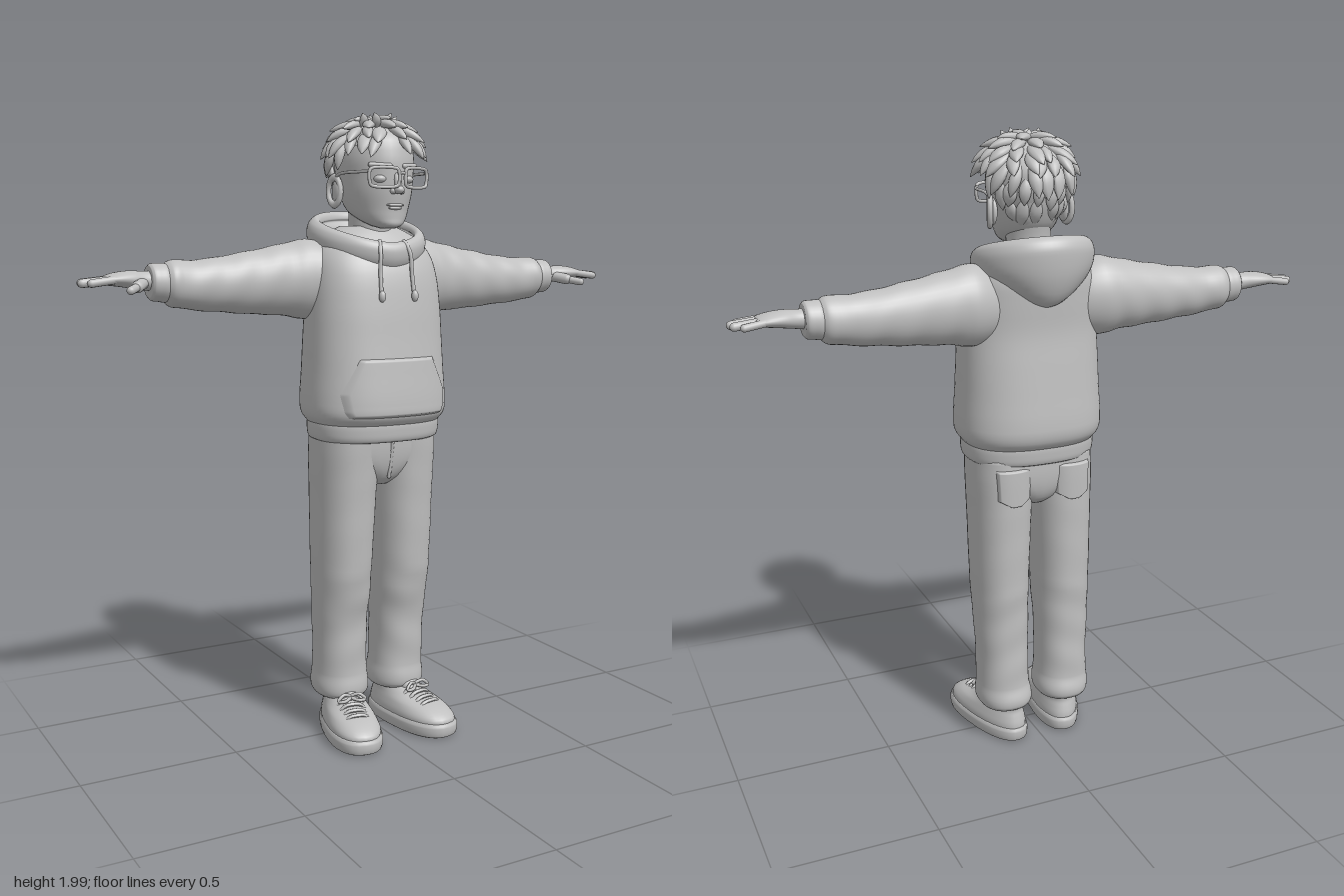
import * as THREE from 'three';
import { mergeGeometries } from 'three/addons/utils/BufferGeometryUtils.js';

const V = (x, y, z) => new THREE.Vector3(x, y, z);
const { cos, sin, PI, abs, sign, min, max } = Math;
const clay = new THREE.MeshStandardMaterial({ color: 0xbfbfbf });
clay.name = 'clay grey';

// grid surface from fn(s, t); s may wrap round
function surface(fn, ns, nt, closed = true) {
  const pos = [], idx = [], w = closed ? ns : ns + 1;
  for (let i = 0; i <= nt; i++)
    for (let j = 0; j < w; j++) pos.push(...fn(j / ns, i / nt).toArray());
  for (let i = 0; i < nt; i++)
    for (let j = 0; j < ns; j++) {
      const a = i * w + j, b = i * w + (j + 1) % w;
      idx.push(a, a + w, b, b, a + w, b + w);
    }
  const g = new THREE.BufferGeometry();
  g.setAttribute('position', new THREE.Float32BufferAttribute(pos, 3));
  g.setIndex(idx);
  g.computeVertexNormals();
  return g;
}

// smooth interpolation of section rows [t, u, v, ru, rv, power]
function sample(rows, t) {
  let i = 0;
  while (i < rows.length - 2 && t > rows[i + 1][0]) i++;
  const p = rows[i], q = rows[i + 1], o = rows[max(i - 1, 0)], r = rows[min(i + 2, rows.length - 1)];
  const h = q[0] - p[0], x = min(max((t - p[0]) / h, 0), 1);
  return p.map((a, k) => {
    const b = q[k], m = h * (b - o[k]) / (q[0] - o[0]), n = h * (r[k] - a) / (r[0] - p[0]);
    return k === 0 ? t : a + (b - a) * x * x * (3 - 2 * x) + m * x * (1 - x) ** 2 - n * x * x * (1 - x);
  });
}

// closed body through superellipse sections, along y or x
function loft(rows, { axis = 'y', seg = 32, sub = 4, fold = () => 0 } = {}) {
  const R = rows.map(r => (r.length < 6 ? [...r, 2] : r)), steps = (R.length - 1) * sub;
  return surface((s, v) => {
    const k = Math.round(v * (steps + 2)) - 1, c = min(max(k, 0), steps);
    const i = min(Math.floor(c / sub), R.length - 2), f = (c - i * sub) / sub;
    const [t, u, w, ru, rv, n] = sample(R, R[i][0] + (R[i + 1][0] - R[i][0]) * f);
    const a = s * 2 * PI, e = 2 / n, open = k === c ? 1 + fold(a, t) : 0;
    const x = u + open * ru * sign(cos(a)) * abs(cos(a)) ** e;
    const z = w + open * rv * sign(sin(a)) * abs(sin(a)) ** e;
    return axis === 'y' ? V(x, t, z) : V(t, z, x);
  }, seg, steps + 2);
}

// raised cloth plate following the front (+1) or back (-1) of a lofted body
function patch(rows, side, cx, edges, lift) {
  const E = edges.map(([y, w]) => [y, w, 0, 0, 0, 2]);
  return surface((s, t) => {
    const y = E[0][0] + t * (E.at(-1)[0] - E[0][0]);
    let i = 0;
    while (i < E.length - 2 && y > E[i + 1][0]) i++;
    const w = E[i][1] + (E[i + 1][1] - E[i][1]) * (y - E[i][0]) / (E[i + 1][0] - E[i][0]);
    const x = cx + side * w * (1 - 2 * s), r = sample(rows, y);
    const z = r[2] + side * r[4] * max(0, 1 - abs((x - r[1]) / r[3]) ** r[5]) ** (1 / r[5]);
    return V(x, y, z + side * (lift * min(1, 22 * min(s, 1 - s, t, 1 - t)) - 0.003));
  }, 44, 44, false);
}

const tube = (pts, r, closed = false) =>
  new THREE.TubeGeometry(new THREE.CatmullRomCurve3(pts, closed), pts.length * 6, r, 8, closed);
function rod(p, q, r) {
  const d = q.clone().sub(p), g = new THREE.CapsuleGeometry(r, d.length(), 5, 12);
  g.applyQuaternion(new THREE.Quaternion().setFromUnitVectors(V(0, 1, 0), d.normalize()));
  const m = p.clone().add(q).multiplyScalar(0.5);
  return g.translate(m.x, m.y, m.z);
}
const ball = (x, y, z, a, b, c) => new THREE.SphereGeometry(1, 20, 14).scale(a, b, c).translate(x, y, z);
function mirrored(g) {
  const m = g.clone().scale(-1, 1, 1), ix = m.index.array;
  for (let i = 0; i < ix.length; i += 3) [ix[i], ix[i + 1]] = [ix[i + 1], ix[i]];
  return m;
}

export function createModel() {
  const model = new THREE.Group();
  model.name = 'boy in hoodie';
  const add = (name, g) => { const m = new THREE.Mesh(g, clay); m.name = name; model.add(m); };
  const pair = (name, g) => { add(name + 'Left', g); add(name + 'Right', mirrored(g)); };

  // hoodie body, hem and front pocket
  const torso = [[1.03, 0, -.008, .208, .163, 2.5], [1.06, 0, -.008, .229, .185, 2.5], [1.1, 0, -.01, .234, .189, 2.5],
    [1.2, 0, -.01, .229, .18, 2.5], [1.3, 0, -.01, .225, .17, 2.5], [1.4, 0, -.01, .22, .161, 2.5],
    [1.5, 0, -.02, .212, .155, 2.5], [1.57, 0, -.035, .196, .14, 2.4], [1.62, 0, -.045, .15, .11, 2.2], [1.65, 0, -.045, .09, .08, 2]];
  add('hoodieBody', loft(torso, { seg: 64 }));
  add('hoodieHem', loft([[.978, 0, -.008, .198, .15, 2.5], [.985, 0, -.008, .208, .161, 2.5], [1.01, 0, -.008, .213, .166, 2.5],
    [1.04, 0, -.008, .212, .166, 2.5], [1.052, 0, -.008, .204, .158, 2.5]], { seg: 64 }));
  add('frontPocket', patch(torso, 1, 0, [[1.06, .165], [1.08, .18], [1.135, .19], [1.245, .13]], .014));

  // hood lying round the neck, drooping to a point behind
  const prof = [[-.07, -.2, -.03], [-.005, -.15, -.05], [.028, -.1, -.03], [.037, -.05, 0], [.03, -.018, 0], [.016, -.002, 0],
    [.002, .003, 0], [-.01, -.006, 0], [-.014, -.022, 0], [-.009, -.03, 0], [-.022, -.05, 0], [-.03, -.09, 0], [-.05, -.13, 0]];
  const hoodRows = prof.map((p, i) => [i, ...p, 0, 2]);
  add('hood', surface((s, t) => {
    const a = s * 2 * PI, c = (1 - sin(a)) / 2, [, d, dy, back] = sample(hoodRows, t * (prof.length - 1));
    const point = c * max(0, -sin(a)) ** 4, r = .16 + d * (.65 + .35 * c);
    return V(cos(a) * r, 1.597 + .1 * c ** .75 + dy * (.6 + .4 * c) + back * point, -.045 + sin(a) * r);
  }, 64, 48));
  const chest = y => { const r = sample(torso, y); return r[2] + r[4]; };
  pair('drawstring', tube([V(.042, 1.605, .112), V(.052, 1.57, .137), V(.056, 1.5, chest(1.5) + .009), V(.058, 1.435, chest(1.435) + .008)], .0065));
  pair('drawstringKnot', ball(.058, 1.435, chest(1.435) + .012, .011, .018, .011));

  // sleeves with soft folds, cuffs
  pair('sleeve', loft([[.12, -.05, 1.475, .085, .1], [.17, -.055, 1.482, .1, .12], [.22, -.065, 1.485, .1, .125], [.3, -.07, 1.483, .09, .11],
    [.4, -.07, 1.477, .08, .097], [.5, -.07, 1.473, .073, .084], [.58, -.068, 1.472, .066, .076], [.63, -.068, 1.476, .066, .072],
    [.66, -.067, 1.478, .064, .068], [.68, -.067, 1.48, .05, .053]],
    { axis: 'x', seg: 36, sub: 6, fold: (a, t) => t > .24 ? .022 * sin(58 * t + 2.2 * sin(a)) * cos(a - .6) : 0 }));
  pair('cuff', loft([[.664, -.067, 1.48, .046, .048], [.672, -.067, 1.48, .055, .058], [.695, -.067, 1.482, .056, .057],
    [.716, -.067, 1.483, .054, .055], [.724, -.067, 1.484, .045, .047]], { axis: 'x' }));

  // hands
  pair('palm', loft([[.7, -.066, 1.486, .032, .031], [.74, -.066, 1.488, .033, .028], [.78, -.067, 1.492, .044, .026],
    [.82, -.068, 1.493, .049, .021], [.85, -.068, 1.491, .046, .015], [.86, -.068, 1.49, .038, .009]], { axis: 'x' }));
  [[-.108, .897, .0115], [-.081, .92, .013], [-.054, .925, .013], [-.028, .905, .012]].forEach(([z, x, r], i) =>
    pair('finger' + (i + 1), rod(V(.835, 1.492, z * .9 - .007), V(x, 1.483, z), r)));
  pair('thumb', mergeGeometries([rod(V(.745, 1.482, -.05), V(.775, 1.472, -.008), .018), rod(V(.775, 1.472, -.008), V(.808, 1.463, .028), .0125)]));

  // trousers
  const leg = [[.122, .104, -.05, .08, .093, 2.3], [.135, .104, -.05, .088, .102, 2.3], [.16, .105, -.05, .09, .104, 2.3], [.2, .106, -.047, .085, .098, 2.3],
    [.3, .107, -.044, .083, .098, 2.3], [.4, .108, -.04, .086, .101, 2.3], [.48, .108, -.032, .088, .113, 2.3], [.6, .108, -.027, .091, .122, 2.3],
    [.8, .105, -.022, .097, .13, 2.3], [.92, .103, -.018, .101, .136, 2.3], [1, .1, -.015, .102, .138, 2.3]];
  pair('trouserLeg', loft(leg, { seg: 40, sub: 6, fold: (a, t) => .016 * sin(46 * t + 2 * sin(a + 1)) * (t < .55 ? 1 : .25) * sin(a) }));
  add('trouserSeat', loft([[.83, 0, -.02, .05, .08], [.86, 0, -.02, .12, .115], [.92, 0, -.018, .19, .134, 2.6], [1, 0, -.015, .2, .139, 2.6]], { seg: 48 }));
  pair('backPocket', patch(leg, -1, .1, [[.845, .006], [.87, .055], [.97, .06]], .014));
  add('flySeam', rod(V(0, .86, .1), V(0, .975, .122), .006));

  // shoes, turned slightly outward
  const shoePose = g => {
    const p = g.attributes.position;
    for (let i = 0; i < p.count; i++) p.setX(i, p.getX(i) * (.97 + .7 * p.getZ(i)));
    g.rotateY(.19).translate(.1, 0, -.05).computeVertexNormals();
    return g;
  };
  pair('sole', shoePose(loft([[0, 0, .095, .072, .18, 2.4], [.006, 0, .095, .079, .19, 2.4], [.035, 0, .095, .082, .194, 2.4], [.048, 0, .095, .077, .188, 2.4]])));
  pair('shoeUpper', shoePose(loft([[.035, 0, .094, .076, .186, 2.3], [.06, 0, .093, .077, .184, 2.3], [.085, 0, .075, .071, .16, 2.2],
    [.105, 0, .042, .064, .122], [.13, 0, .012, .058, .094], [.155, 0, -.002, .052, .076]])));
  const laces = [[.11, .13], [.135, .119], [.16, .108], [.185, .1]].map(([z, y]) =>
    tube([V(-.045, y - .028, z), V(-.022, y - .004, z + .006), V(0, y, z + .008), V(.022, y - .004, z + .006), V(.045, y - .028, z)], .0065));
  const bow = [-1, 1].map(k => tube([V(0, .135, .115), V(k * .025, .146, .125), V(k * .043, .128, .13), V(k * .022, .128, .135)], .0055, true));
  pair('laces', shoePose(mergeGeometries([...laces, ...bow])));
  pair('shoeTongue', shoePose(ball(0, .128, .085, .036, .026, .034)));

  // neck, head and face
  add('neck', loft([[1.5, 0, -.03, .075, .08], [1.6, 0, -.025, .068, .075], [1.68, 0, -.02, .068, .08], [1.74, 0, -.02, .07, .09]]));
  add('head', loft([[1.642, 0, .088, .022, .028], [1.65, 0, .08, .044, .053], [1.67, 0, .052, .07, .083], [1.7, 0, .022, .09, .115],
    [1.75, 0, .01, .106, .135], [1.8, 0, .004, .112, .145], [1.86, 0, 0, .117, .147], [1.92, 0, 0, .1, .125], [1.96, 0, 0, .045, .06]], { seg: 40 }));
  add('nose', mergeGeometries([rod(V(0, 1.8, .143), V(0, 1.762, .158), .011), ball(0, 1.757, .158, .016, .013, .018),
    ball(.014, 1.753, .148, .01, .009, .011), ball(-.014, 1.753, .148, .01, .009, .011)]));
  add('lips', mergeGeometries([ball(0, 1.712, .134, .031, .0055, .01), ball(0, 1.703, .132, .024, .006, .011)]));
  pair('eye', ball(.046, 1.79, .125, .022, .013, .018));
  pair('eyebrow', rod(V(.025, 1.829, .146), V(.078, 1.832, .119), .0075));
  pair('ear', mergeGeometries([ball(.118, 1.755, -.02, .014, .042, .028),
    new THREE.TorusGeometry(.03, .009, 8, 20).scale(.85, 1.4, 1).rotateY(PI / 2 - .35).translate(.127, 1.757, -.024)]));

  // glasses
  const rim = [[-1, -.8], [-.8, -1], [.7, -1], [.95, -.8], [1, .8], [.85, 1], [-.85, 1], [-1, .8]].map(([x, y]) =>
    V(.056 + x * .043, 1.793 + y * .027, .166 - .012 * x));
  pair('glassesRim', tube(rim, .0055, true));
  add('glassesBridge', tube([V(-.015, 1.802, .177), V(0, 1.807, .18), V(.015, 1.802, .177)], .005));
  pair('glassesTemple', tube([V(.098, 1.81, .155), V(.118, 1.81, .11), V(.126, 1.806, 0), V(.124, 1.785, -.04)], .005));

  // hair: a close cap covered in pointed locks radiating from the crown
  const scalp = (th, ph, k = 1) => V(.129 * k * sin(th) * cos(ph), 1.86 + (th < PI / 2 ? .11 : .165) * k * cos(th), .148 * k * sin(th) * sin(ph) - .004);
  const limit = ph => 1.52 - .4 * max(0, sin(ph)) + 1.0 * max(0, -sin(ph)) ** .7;
  add('hairCap', surface((s, t) => scalp((1 - t) * limit(s * 2 * PI) + .001, s * 2 * PI), 40, 18));
  const lock = loft([[-.3, 0, -.3, .25, .2], [0, 0, 0, .8, .7], [.35, 0, .25, 1, .85], [.7, 0, .25, .7, .6], [1, 0, .15, .05, .06]], { seg: 10, sub: 3 });
  const locks = [];
  let seed = 7;
  const rnd = () => (seed = (seed * 16807) % 2147483647) / 2147483647;
  [[.12, 5], [.42, 10], [.75, 14], [1.05, 18], [1.38, 19], [1.72, 19], [2.05, 17], [2.3, 13]].forEach(([th0, n], row) => {
    for (let i = 0; i < n; i++) {
      const ph = (i + .5 * (row % 2) + .3 * rnd()) / n * 2 * PI, th = th0 + .1 * (rnd() - .5);
      if (th > limit(ph) - .08) continue;
      const p = scalp(th, ph), y = scalp(th + .05, ph + .04 * (rnd() - .5)).sub(p).normalize();
      const out = V(p.x / .0166, (p.y - 1.86) / .0121, p.z / .0219).normalize();
      const x = y.clone().cross(out).normalize(), z = x.clone().cross(y);
      y.addScaledVector(z, row < 4 ? .12 : .02);
      const len = (row < 5 ? .07 : .055) + .018 * rnd(), wide = .017 + .007 * rnd();
      const m = new THREE.Matrix4().makeBasis(x.multiplyScalar(wide), y.multiplyScalar(len), z.multiplyScalar(row < 5 ? .017 : .013)).setPosition(p);
      locks.push(lock.clone().applyMatrix4(m));
    }
  });
  add('hairLocks', mergeGeometries(locks));
  // loose tufts on top
  add('hairTufts', mergeGeometries([[-.05, .03, -.4], [.01, .05, .25], [.05, 0, .5], [.0, -.03, -.2], [-.03, .075, -.5]].map(([x, z, tilt]) =>
    lock.clone().scale(.015, .045, .012).rotateZ(-tilt).rotateX(.5).translate(x, 1.955, z))));
  return model;
}
